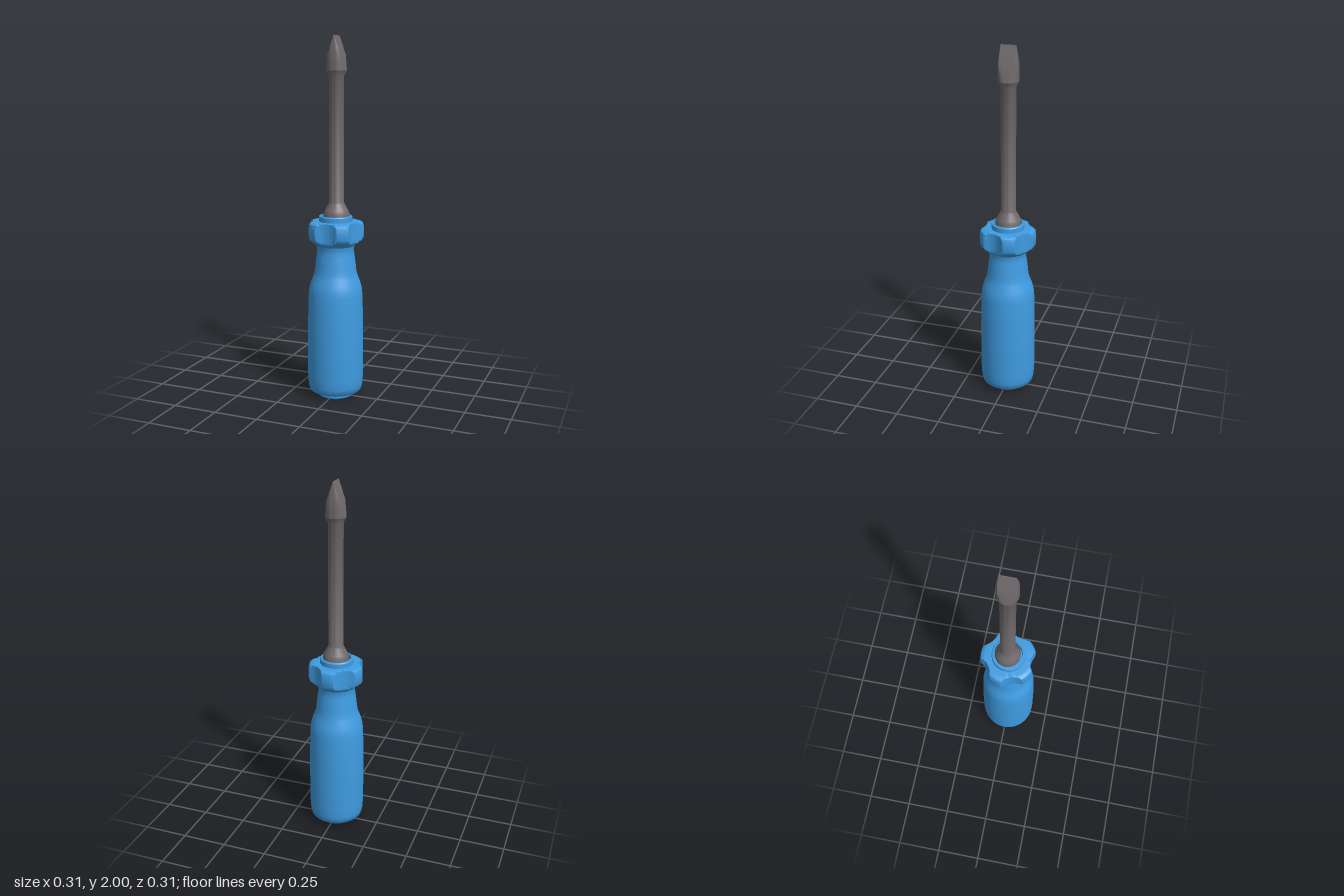
import * as THREE from 'three';
import { toCreasedNormals } from 'three/addons/utils/BufferGeometryUtils.js';

const blue = new THREE.MeshStandardMaterial({ color: 0x3f9ce2 });
blue.name = 'handle blue';
const steel = new THREE.MeshStandardMaterial({ color: 0x706a6c });
steel.name = 'steel grey';

// Turned part from [radius, height] pairs, bottom to top, with an optional vertex rule
function turned(name, profile, segments, material, rule) {
  const geo = new THREE.LatheGeometry(profile.map(([r, y]) => new THREE.Vector2(r, y)), segments);
  if (rule) {
    const p = geo.attributes.position;
    const v = new THREE.Vector3();
    for (let i = 0; i < p.count; i++) {
      rule(v.fromBufferAttribute(p, i));
      p.setXYZ(i, v.x, v.y, v.z);
    }
  }
  const mesh = new THREE.Mesh(toCreasedNormals(geo, 0.6), material);
  mesh.name = name;
  return mesh;
}

// Five round finger notches cut into the collar
function notch(v) {
  const r = Math.hypot(v.x, v.z);
  const step = Math.PI * 2 / 5;
  let a = Math.atan2(v.x, v.z);
  a -= Math.round(a / step) * step;
  const dist = 0.225, cutter = 0.1;
  const under = cutter ** 2 - (dist * Math.sin(a)) ** 2;
  if (under <= 0) return;
  const limit = dist * Math.cos(a) - Math.sqrt(under);
  if (r > limit) {
    v.x *= limit / r;
    v.z *= limit / r;
  }
}

// Flattens both sides of the tip into a wedge
function wedge(v) {
  const w = v.y < 1.9
    ? THREE.MathUtils.mapLinear(v.y, 1.815, 1.9, 0.056, 0.036)
    : THREE.MathUtils.mapLinear(v.y, 1.9, 2, 0.036, 0.002);
  v.x = THREE.MathUtils.clamp(v.x, -w, w);
}

export function createModel() {
  const model = new THREE.Group();
  model.name = 'screwdriver';

  // Handle: end cap, grip and waist
  model.add(turned('endCap', [[0, 0], [0.095, 0], [0.102, 0.008], [0.102, 0.035]], 48, blue));
  model.add(turned('grip', [
    [0, 0.033], [0.14, 0.033], [0.147, 0.04], [0.153, 0.07], [0.156, 0.12], [0.156, 0.35], [0.153, 0.5],
    [0.15, 0.59], [0.147, 0.62], [0.138, 0.655], [0.124, 0.69], [0.117, 0.715], [0.113, 0.75],
    [0.107, 0.8], [0.102, 0.83], [0.102, 0.845], [0.106, 0.865],
  ], 60, blue));

  // Notched collar with the raised, hollow ferrule above it
  model.add(turned('collar', [
    [0.106, 0.865], [0.118, 0.875], [0.135, 0.888], [0.15, 0.9], [0.156, 0.915], [0.157, 0.95],
    [0.156, 0.975], [0.151, 0.99], [0.14, 0.998], [0.125, 1.0], [0.085, 1.0],
  ], 120, blue, notch));
  model.add(turned('ferrule', [[0.092, 0.995], [0.092, 1.025], [0.088, 1.03], [0.079, 1.03], [0.077, 1.005], [0, 1.005]], 48, blue));

  // Steel shaft and wedge tip, slightly off the handle's axis
  const blade = new THREE.Group();
  blade.name = 'blade';
  blade.position.set(0.004, 0, -0.004);
  blade.add(turned('shaft', [
    [0.071, 1.005], [0.071, 1.045], [0.064, 1.06], [0.045, 1.095], [0.041, 1.105], [0.041, 1.785],
    [0.056, 1.815],
  ], 36, steel));
  blade.add(turned('tip', [[0.056, 1.815], [0.056, 1.86], [0.056, 1.9], [0.05, 1.945], [0.042, 2], [0, 2]], 36, steel, wedge));
  model.add(blade);
  return model;
}
